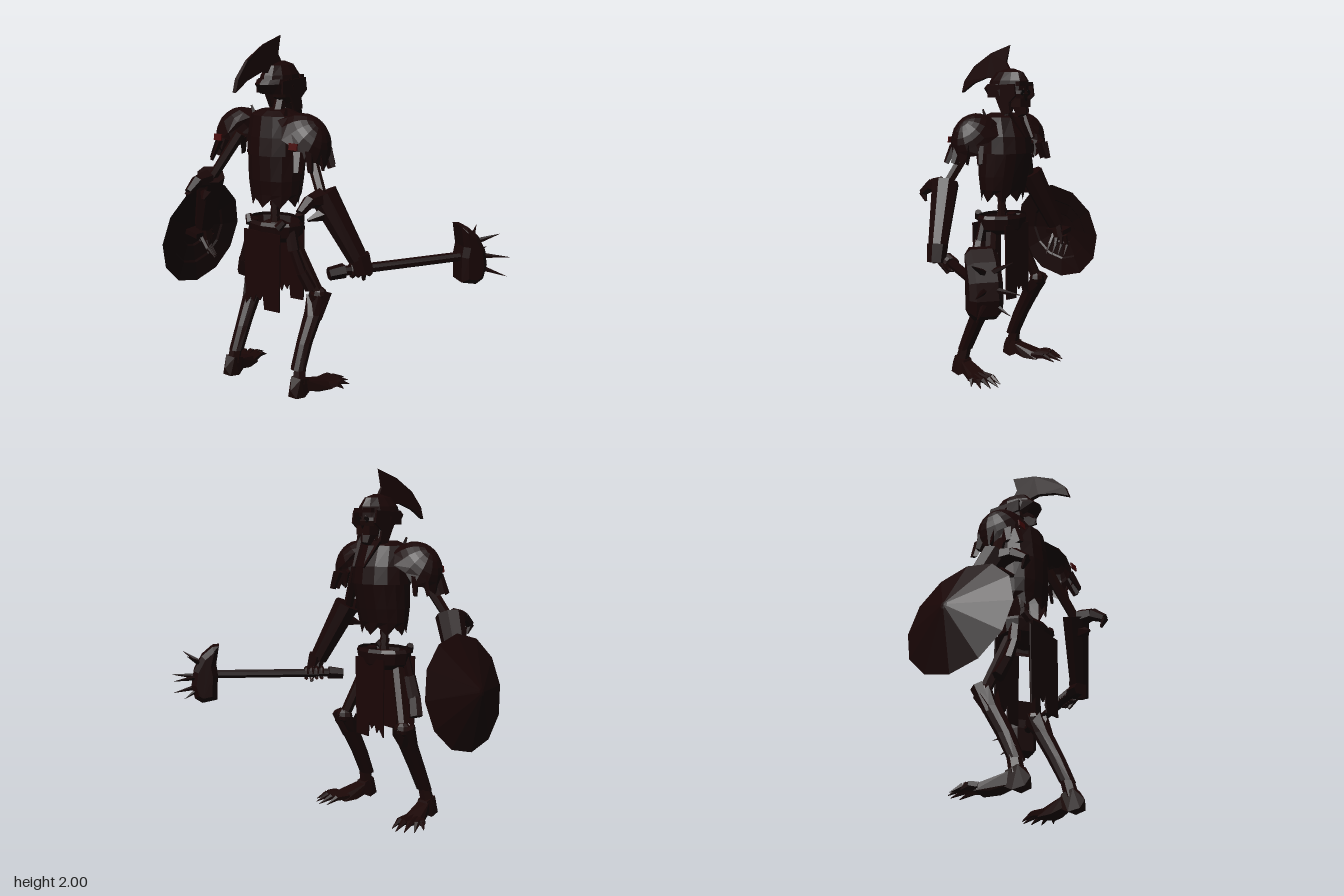
import * as THREE from 'three';
import { ConvexGeometry } from 'three/addons/geometries/ConvexGeometry.js';

const mat = (name, color) => Object.assign(new THREE.MeshStandardMaterial({ color, flatShading: true, side: THREE.DoubleSide }), { name });
const V = (p) => new THREE.Vector3(...p);

// tapered bar from a to b
function limb(a, b, ra, rb, n = 6, squash = 1) {
  const A = V(a), B = V(b), d = B.clone().sub(A);
  const g = new THREE.CylinderGeometry(rb, ra, d.length(), n);
  g.scale(1, 1, squash);
  g.applyQuaternion(new THREE.Quaternion().setFromUnitVectors(new THREE.Vector3(0, 1, 0), d.normalize()));
  const m = A.add(B).multiplyScalar(0.5);
  return g.translate(m.x, m.y, m.z);
}

// skin over horizontal rings [x, y, z, rx, rz], optional ragged last ring
function loft(rings, n = 12, jag = 0, cap = false) {
  const pos = [], idx = [];
  rings.forEach(([x, y, z, rx, rz], r) => {
    for (let i = 0; i < n; i++) {
      const t = (i / n) * Math.PI * 2;
      const dy = r === rings.length - 1 ? (i % 2 ? jag : -jag) : 0;
      pos.push(x + rx * Math.sin(t), y + dy, z + rz * Math.cos(t));
      if (r) {
        const a = (r - 1) * n + i, b = (r - 1) * n + (i + 1) % n;
        idx.push(a, a + n, b, b, a + n, b + n);
      }
    }
  });
  if (cap) for (let i = 1; i < n - 1; i++) idx.push(0, i, i + 1);
  const g = new THREE.BufferGeometry();
  g.setAttribute('position', new THREE.Float32BufferAttribute(pos, 3));
  g.setIndex(idx);
  return g;
}

// flat plate cut from an outline, centred in depth
function plate(pts, depth, bevel = 0) {
  const g = new THREE.ExtrudeGeometry(new THREE.Shape(pts.map(([x, y]) => new THREE.Vector2(x, y))),
    { depth, bevelEnabled: bevel > 0, bevelSize: bevel, bevelThickness: bevel, bevelOffset: -bevel, bevelSegments: 1 });
  return g.translate(0, 0, -depth / 2);
}
// the same, with the outline given as (z, y)
const sidePlate = (pts, depth, x = 0) => plate(pts, depth).rotateY(-Math.PI / 2).translate(x, 0, 0);
const ball = (p, rx, ry, rz, n = 8) => new THREE.SphereGeometry(1, n, 6).scale(rx, ry, rz).translate(...p);

function facet(geo, mirror = false) {
  const g = geo.index ? geo.toNonIndexed() : geo.clone();
  if (mirror) {
    g.scale(-1, 1, 1);
    const p = g.attributes.position, a = new THREE.Vector3(), b = new THREE.Vector3();
    for (let i = 0; i < p.count; i += 3) {
      a.fromBufferAttribute(p, i + 1); b.fromBufferAttribute(p, i + 2);
      p.setXYZ(i + 1, b.x, b.y, b.z); p.setXYZ(i + 2, a.x, a.y, a.z);
    }
  }
  g.computeVertexNormals();
  return g;
}

export function createModel() {
  const armour = mat('dark armour', 0x180505), bone = mat('dark bone', 0x1b0706);
  const cloth = mat('dark cloth', 0x1a0505), iron = mat('dark iron', 0x160505);
  const red = mat('dull red', 0x480808), black = mat('socket black', 0x0a0303);
  const root = new THREE.Group(), body = new THREE.Group();
  root.name = 'skeletonWarrior'; body.name = 'body';
  body.position.x = -0.2;
  root.add(body);
  const add = (name, geo, m, parent = body, mirror = false) => {
    const mesh = new THREE.Mesh(facet(geo, mirror), m);
    mesh.name = name;
    parent.add(mesh);
  };
  const pair = (name, geo, m) => {
    add(name + 'Left', geo, m);
    add(name + 'Right', geo, m, body, true);
  };

  // torso, spine and belt
  add('cuirassUpper', loft([[0, 1.6, 0.25, 0.09, 0.075], [0, 1.575, 0.25, 0.155, 0.12], [0, 1.46, 0.24, 0.172, 0.15], [0, 1.36, 0.24, 0.178, 0.16]], 14, 0, true), armour);
  add('cuirassLower', loft([[0, 1.37, 0.24, 0.173, 0.155], [0, 1.22, 0.255, 0.168, 0.138], [0, 1.14, 0.26, 0.16, 0.122], [0, 1.09, 0.265, 0.14, 0.115]], 16, 0.025), armour);
  add('spine', limb([0, 0.9, 0.27], [0, 1.3, 0.27], 0.024, 0.024), bone);
  for (let i = 0; i < 4; i++) add('vertebra', new THREE.CylinderGeometry(0.028, 0.028, 0.025, 6).translate(0, 0.98 + i * 0.045, 0.27), bone);
  add('belt', loft([[0, 0.985, 0.265, 0.168, 0.125], [0, 0.965, 0.265, 0.178, 0.135], [0, 0.9, 0.265, 0.165, 0.125], [0, 0.87, 0.265, 0.13, 0.11]], 12), armour);
  add('pelvis', ball([0, 0.92, 0.265], 0.11, 0.055, 0.08), bone);
  pair('beltKnob', limb([0.1, 0.96, 0.37], [0.13, 1.0, 0.35], 0.025, 0.02), armour);

  // ragged loincloths, back and front
  const rag = [[-0.13, 0.93], [-0.13, 0.48], [-0.09, 0.53], [-0.07, 0.5], [-0.05, 0.55], [-0.02, 0.52], [0, 0.56], [0.01, 0.47], [0.12, 0.475], [0.135, 0.93]];
  add('rearLoincloth', plate(rag, 0.008).translate(0, 0, 0.39), cloth);
  add('frontLoincloth', plate(rag.map(([x, y]) => [x * 0.85, y]), 0.008).translate(0, 0, 0.15), cloth);

  // neck, skull and jaw
  add('neck', limb([0, 1.53, 0.25], [0, 1.7, 0.19], 0.035, 0.03), bone);
  add('skull', ball([0, 1.71, 0.17], 0.065, 0.09, 0.095, 10), bone);
  add('cheekbones', new THREE.BoxGeometry(0.1, 0.05, 0.07).translate(0, 1.66, 0.12), bone);
  add('jaw', limb([0, 1.64, 0.13], [0, 1.585, 0.11], 0.048, 0.03, 6), bone);
  pair('eyeSocket', new THREE.CylinderGeometry(0.017, 0.017, 0.008, 8).rotateX(Math.PI / 2).translate(0.026, 1.72, 0.086), black);
  add('nose', new THREE.CylinderGeometry(0.01, 0.01, 0.008, 3).rotateX(Math.PI / 2).translate(0, 1.68, 0.082), black);

  // helmet with cheek guards and swept crest
  add('helmetDome', loft([[0, 1.86, 0.2, 0.012, 0.03], [0, 1.84, 0.205, 0.05, 0.095], [0, 1.79, 0.21, 0.083, 0.132], [0, 1.73, 0.22, 0.095, 0.138]], 12, 0, true), armour);
  add('neckGuard', loft([[0, 1.77, 0.24, 0.088, 0.12], [0, 1.745, 0.25, 0.094, 0.135], [0, 1.69, 0.24, 0.094, 0.1]], 12), armour);
  pair('cheekGuard', sidePlate([[0.3, 1.76], [0.1, 1.77], [0.09, 1.7], [0.14, 1.66], [0.13, 1.6], [0.19, 1.59], [0.24, 1.69], [0.3, 1.69]], 0.012, 0.088), armour);
  pair('cheekFlap', limb([0.076, 1.74, 0.2], [0.068, 1.585, 0.165], 0.02, 0.016, 5, 1.6), armour);
  pair('chinStrip', limb([0.075, 1.62, 0.16], [0.035, 1.455, 0.055], 0.024, 0.012, 4, 0.6), armour);
  add('browRidge', new THREE.BoxGeometry(0.13, 0.025, 0.03).translate(0, 1.77, 0.095), armour);
  const crest = sidePlate([[0.2, 2], [0.35, 1.955], [0.48, 1.88], [0.56, 1.79], [0.582, 1.72], [0.49, 1.775], [0.38, 1.81], [0.3, 1.8], [0.19, 1.83], [0.23, 1.9]], 0.024);
  const cp = crest.attributes.position;
  for (let i = 0; i < cp.count; i++) cp.setX(i, cp.getX(i) * THREE.MathUtils.clamp((2 - cp.getY(i)) / 0.17, 0.05, 1));
  add('crest', crest, cloth);

  // shoulder plates: tilted shells with a flared ragged rim
  const dome = new THREE.SphereGeometry(0.17, 14, 6, 0, Math.PI * 2, 0, 1.35);
  const dp = dome.attributes.position;
  for (let i = 0; i < 15; i++) {
    const k = 6 * 15 + i, f = i % 2 ? 1.14 : 1.02;
    dp.setXYZ(k, dp.getX(k) * f, dp.getY(k) - (i % 2 ? 0.02 : 0), dp.getZ(k) * f);
  }
  dome.scale(1, 1, 0.82).rotateZ(-0.75).translate(0.21, 1.43, 0.285);
  pair('shoulderPlate', dome, armour);
  for (let i = 0; i < 5; i++) {
    const t = -1.1 + i * 0.6, c = Math.cos(t), s = Math.sin(t);
    pair('shoulderTab', limb([0.27 + 0.07 * c, 1.41, 0.29 + 0.12 * s], [0.285 + 0.09 * c, 1.31, 0.3 + 0.155 * s], 0.035, 0.022, 4, 0.4), armour);
  }
  pair('shoulderMark', new THREE.BoxGeometry(0.055, 0.036, 0.008).rotateX(-0.15).translate(0.268, 1.443, 0.435), red);
  pair('collarSpike', limb([0.1, 1.54, 0.3], [0.125, 1.62, 0.31], 0.02, 0.007, 4), armour);

  // arms
  pair('upperArm', limb([0.24, 1.45, 0.28], [0.4, 1.18, 0.36], 0.032, 0.028), bone);
  pair('bracer', limb([0.405, 1.2, 0.36], [0.57, 0.85, 0.27], 0.08, 0.056, 8), armour);
  // curled elbow hook, tapering to its tip
  const hook = [[0.41, 1.18, 0.39], [0.405, 1.18, 0.47], [0.4, 1.13, 0.55], [0.4, 1.08, 0.525]];
  [0.055, 0.038, 0.024, 0.008].forEach((r, i, rs) => {
    if (i < 3) pair('elbowHook', limb(hook[i], hook[i + 1], r, rs[i + 1], 6), armour);
  });
  pair('elbowFin', limb([0.43, 1.1, 0.37], [0.38, 1.07, 0.46], 0.045, 0.008, 5), armour);
  pair('palm', limb([0.565, 0.87, 0.27], [0.575, 0.765, 0.25], 0.038, 0.045, 6, 0.8), bone);

  // open clawed hand behind the shield
  for (let i = 0; i < 4; i++) {
    const z = 0.2 + i * 0.03, x = -0.59 + i * 0.025;
    add('finger', limb([-0.575, 0.78, z], [x - 0.01, 0.71, z], 0.015, 0.013, 5), bone);
    add('claw', limb([x - 0.01, 0.715, z], [x + 0.04, 0.645 + i * 0.005, z - 0.01], 0.013, 0.002, 5), bone);
  }

  // legs
  pair('thigh', limb([0.1, 0.92, 0.265], [0.235, 0.56, 0.18], 0.036, 0.032), bone);
  const hip = [[0.13, 0.97, 0.3], [0.165, 0.83, 0.31], [0.21, 0.71, 0.3], [0.25, 0.61, 0.27]];
  for (let i = 0; i < 3; i++) pair('hipPlate', limb(hip[i], hip[i + 1], 0.022 + i * 0.003, 0.025 + i * 0.003, 6, 1.4), armour);
  pair('knee', ball([0.235, 0.55, 0.175], 0.05, 0.045, 0.045), bone);
  pair('greave', loft([[0.235, 0.16, 0.37, 0.046, 0.042], [0.232, 0.3, 0.305, 0.047, 0.05], [0.235, 0.45, 0.225, 0.056, 0.055], [0.236, 0.54, 0.185, 0.072, 0.058]], 10, 0.025), armour);
  pair('greaveFin', limb([0.28, 0.42, 0.23], [0.298, 0.57, 0.17], 0.012, 0.02, 4, 2), armour);

  // clawed feet
  pair('ankle', limb([0.24, 0.22, 0.35], [0.25, 0.08, 0.385], 0.034, 0.04), bone);
  pair('heel', new ConvexGeometry([
    [0.215, 0.12, 0.41], [0.285, 0.12, 0.41], [0.215, 0.1, 0.34], [0.285, 0.1, 0.34], [0.22, 0.012, 0.445], [0.28, 0.012, 0.445],
    [0.25, 0.06, 0.46], [0.21, 0, 0.38], [0.29, 0, 0.38], [0.22, 0.03, 0.32], [0.29, 0.03, 0.32]].map(V)), bone);
  pair('foot', new ConvexGeometry([
    [0.215, 0.095, 0.36], [0.285, 0.095, 0.36], [0.215, 0.03, 0.36], [0.285, 0.03, 0.36], [0.24, 0.058, 0.26], [0.31, 0.058, 0.26],
    [0.25, 0.045, 0.19], [0.345, 0.042, 0.2], [0.235, 0.006, 0.18], [0.36, 0.006, 0.21], [0.22, 0.006, 0.27], [0.32, 0.006, 0.28]].map(V)), bone);
  [[0.25, 0.27, 0.06], [0.28, 0.315, 0.04], [0.31, 0.36, 0.06], [0.335, 0.4, 0.1], [0.35, 0.408, 0.17]].forEach(([x, tx, tz]) => {
    const kx = (x + tx) / 2, kz = (0.21 + tz) / 2;
    pair('toe', limb([x, 0.03, 0.22], [kx, 0.035, kz], 0.024, 0.018, 5), bone);
    pair('toeClaw', limb([kx, 0.035, kz], [tx, 0.006, tz], 0.018, 0.002, 5), bone);
  });

  // round shield: shallow cone with an inner shell and grip
  const shield = new THREE.Group();
  shield.name = 'shield';
  shield.position.set(-0.79, 0.8, 0.275);
  shield.quaternion.setFromUnitVectors(new THREE.Vector3(0, 1, 0), new THREE.Vector3(-0.983, 0.18, 0).normalize());
  root.add(shield);
  const disc = (pts) => new THREE.LatheGeometry(pts.map(([r, y]) => new THREE.Vector2(r, y)), 12);
  add('shieldFace', disc([[0.322, -0.005], [0.02, 0.112], [0, 0.115]]), armour, shield);
  add('shieldInside', disc([[0, 0.07], [0.1, 0.06], [0.11, 0.05], [0.2, 0.03], [0.21, 0.02], [0.322, -0.005]]), iron, shield);
  add('shieldGrip', new THREE.BoxGeometry(0.03, 0.1, 0.14).translate(0, 0.02, 0), iron, shield);

  // spiked mace
  const mace = new THREE.Group();
  mace.name = 'mace';
  root.add(mace);
  add('handle', limb([0.27, 0.765, 0.3], [0.68, 0.775, -0.3], 0.027, 0.027, 8), iron, mace);
  add('pommel', limb([0.235, 0.757, 0.35], [0.285, 0.767, 0.275], 0.036, 0.042, 6), iron, mace);
  const head = plate([[-0.07, -0.15], [-0.075, 0], [-0.065, 0.06], [-0.085, 0.18], [-0.045, 0.175], [0.02, 0.12], [0.07, 0.03], [0.085, -0.06], [0.065, -0.14], [0.02, -0.168]], 0.11, 0.03);
  add('maceHead', head.rotateY(Math.atan2(0.82, 0.58)).translate(0.705, 0.78, -0.365), armour, mace);
  [[0.9, 0.765, -0.48], [0.7, 0.765, -0.595], [0.86, 0.91, -0.42], [0.665, 0.91, -0.52], [0.89, 0.65, -0.475], [0.695, 0.65, -0.525]].forEach((tip) =>
    add('maceSpike', limb([0.7 + (tip[0] - 0.7) * 0.25, 0.77 + (tip[1] - 0.77) * 0.6, -0.38 + (tip[2] + 0.38) * 0.25], tip, 0.018, 0.001, 5), iron, mace));

  // hand closed round the handle
  for (let i = 0; i < 4; i++) {
    const ring = new THREE.TorusGeometry(0.033, 0.012, 5, 10, 5).rotateY(Math.atan2(0.82, 0.58) + Math.PI / 2);
    add('gripFinger', ring.translate(0.315 + i * 0.018, 0.766, 0.245 - i * 0.027), bone, mace);
  }
  add('gripThumb', limb([0.4, 0.8, 0.25], [0.36, 0.71, 0.2], 0.018, 0.01, 5), bone, mace);
  add('wristGuard', limb([0.375, 0.87, 0.265], [0.4, 0.77, 0.255], 0.06, 0.052, 6), armour, mace);

  return root;
}
